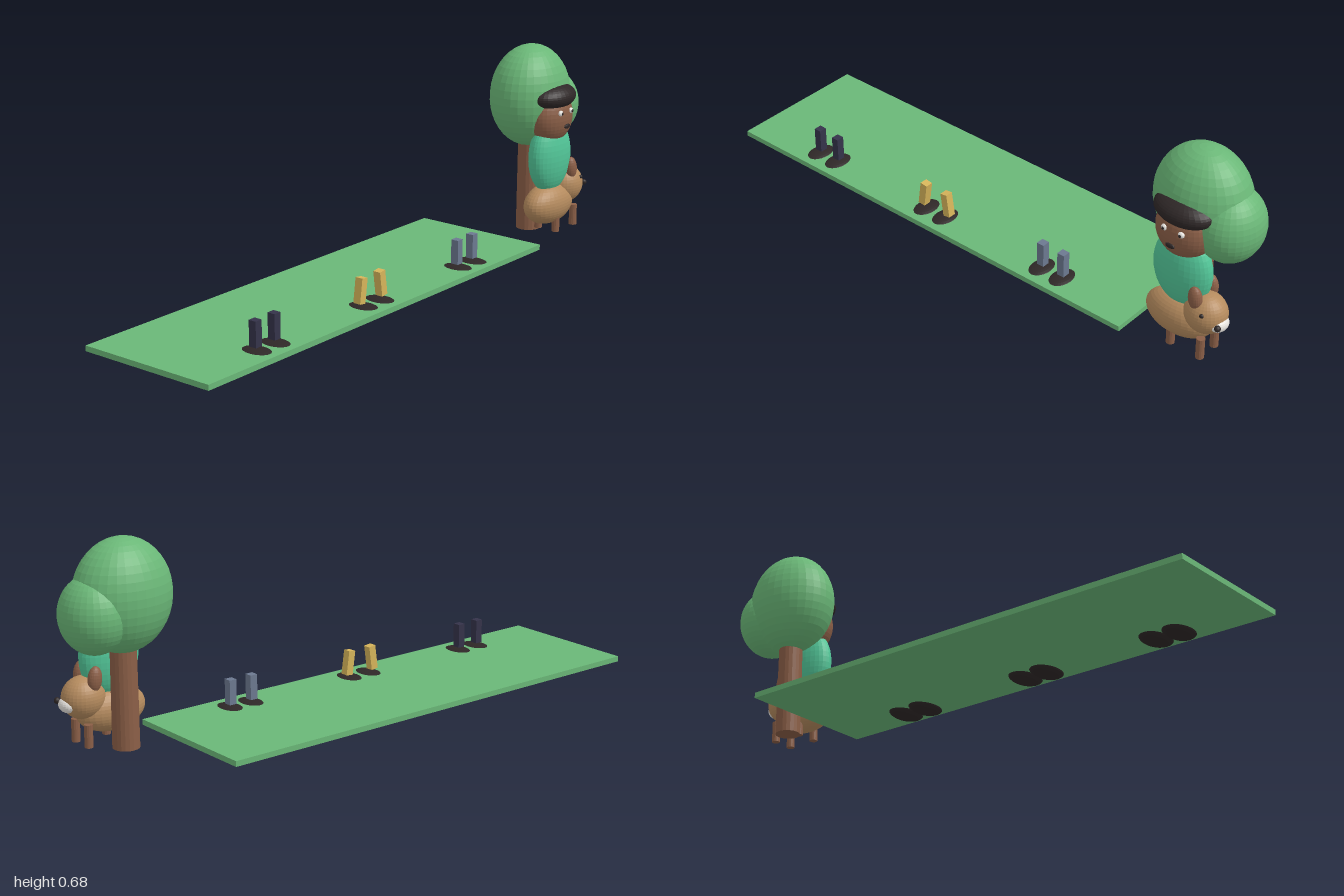
import * as THREE from 'three';

const mat = (name, color) => {
  const m = new THREE.MeshStandardMaterial({ color, flatShading: true });
  m.name = name;
  return m;
};

export function createModel() {
  const green = mat('leaf green', 0x6ab777);
  const teal = mat('teal cloth', 0x52c698);
  const brown = mat('brown', 0x8b5f47);
  const tan = mat('tan fur', 0xb58b5e);
  const dark = mat('near black', 0x2e2727);
  const white = mat('off white', 0xe8e5e0);
  const yellow = mat('ochre', 0xd6b45a);
  const slate = mat('slate', 0x6c7990);
  const navy = mat('dark navy', 0x35334a);

  const model = new THREE.Group();
  const group = (name) => {
    const g = new THREE.Group();
    g.name = name;
    model.add(g);
    return g;
  };
  const add = (parent, name, geo, material, x, y, z) => {
    const m = new THREE.Mesh(geo, material);
    m.name = name;
    m.position.set(x, y, z);
    parent.add(m);
    return m;
  };
  const ball = (parent, name, material, [x, y, z], [rx, ry, rz], seg = 32) => {
    const geo = new THREE.SphereGeometry(1, seg, Math.round(seg * 0.65)).scale(rx, ry, rz);
    return add(parent, name, geo, material, x, y, z);
  };

  // Flat ground slab
  add(model, 'groundSlab', new THREE.BoxGeometry(1.63, 0.018, 0.49), green, -0.185, 0.026, 0);

  // Three pairs of legs with shoes pressed through the slab
  const pairs = [
    { x: -0.675, half: 0.041, legHalf: 0.041, tilt: 0, material: navy },
    { x: -0.185, half: 0.041, legHalf: 0.049, tilt: 0.14, material: yellow },
    { x: 0.306, half: 0.041, legHalf: 0.041, tilt: 0, material: slate },
  ];
  for (const p of pairs) {
    const g = group('legPair');
    for (const s of [-1, 1]) {
      ball(g, 'shoe', dark, [p.x + s * p.half, 0.021, 0.17], [0.046, 0.021, 0.068], 24);
      const leg = add(g, 'leg', new THREE.BoxGeometry(0.026, 0.082, 0.027), p.material,
        p.x + s * p.legHalf, 0.087, 0.165);
      leg.rotation.z = s * p.tilt;
    }
  }

  // Tree
  const tree = group('tree');
  add(tree, 'trunk', new THREE.CylinderGeometry(0.04, 0.042, 0.37, 20), brown, 0.797, 0.212, 0.082);
  ball(tree, 'mainCrown', green, [0.795, 0.502, 0.08], [0.158, 0.176, 0.128]);
  ball(tree, 'sideCrown', green, [0.895, 0.458, 0.082], [0.105, 0.121, 0.113]);

  // Seated figure
  const person = group('person');
  ball(person, 'torso', teal, [0.796, 0.3, 0.165], [0.101, 0.13, 0.055]);
  ball(person, 'head', brown, [0.794, 0.44, 0.165], [0.094, 0.095, 0.068]);
  ball(person, 'hair', dark, [0.795, 0.51, 0.17], [0.102, 0.045, 0.071]);
  for (const s of [-1, 1]) {
    ball(person, 'eye', white, [0.795 + s * 0.03, 0.462, 0.226], [0.011, 0.01, 0.009], 14);
    ball(person, 'pupil', dark, [0.795 + s * 0.03, 0.462, 0.234], [0.005, 0.005, 0.003], 10);
  }
  ball(person, 'mouth', dark, [0.794, 0.414, 0.235], [0.017, 0.008, 0.005], 14);

  // Dog facing the +x side
  const dog = group('dog');
  ball(dog, 'body', tan, [0.795, 0.131, 0.165], [0.118, 0.071, 0.063]);
  ball(dog, 'dogHead', tan, [0.888, 0.182, 0.168], [0.069, 0.067, 0.062]);
  ball(dog, 'muzzle', white, [0.94, 0.167, 0.172], [0.026, 0.024, 0.035], 20);
  ball(dog, 'nose', dark, [0.956, 0.176, 0.205], [0.01, 0.01, 0.01], 14);
  ball(dog, 'dogEye', dark, [0.909, 0.208, 0.222], [0.007, 0.007, 0.006], 12);
  for (const s of [-1, 1]) {
    const z = 0.165 + s * 0.04;
    const ear = ball(dog, 'ear', brown, [0.872, 0.245, z], [0.023, 0.04, 0.019], 20);
    ear.rotation.z = 0.1;
    for (const x of [0.79, 0.898]) {
      add(dog, 'dogLeg', new THREE.CylinderGeometry(0.0135, 0.0135, 0.072, 14), brown,
        x, 0.072, 0.165 + s * 0.036);
    }
  }

  return model;
}
